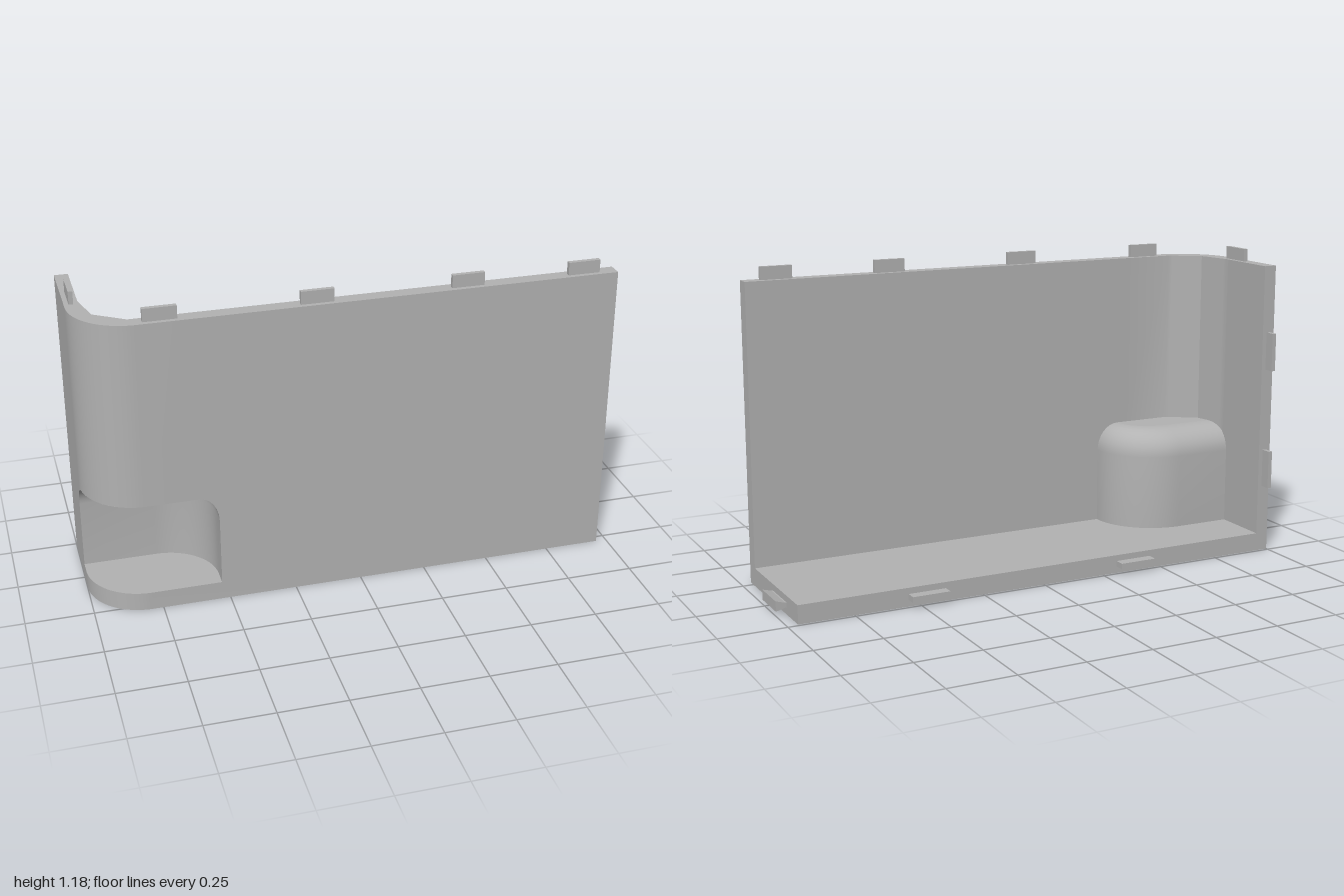
import * as THREE from 'three';
import { toCreasedNormals } from 'three/addons/utils/BufferGeometryUtils.js';

const FLOOR = 0.07, TOP = 1.13, BACK = -0.24, FRONT = 0.28, LEFT = -1, RIGHT = 0.96;
const R = 0.21, CX = LEFT + R, CZ = FRONT - R; // rounded corner of the footprint
const NOTCH = { x: -0.53, z: 0.02, y: 0.33, rise: 0.1, dx: 0.07, dz: 0.1 };

// Quads given as four corners [x, y, z], counter-clockwise from outside
function quadGeometry(quads) {
  const pos = [];
  for (const [a, b, c, d] of quads) pos.push(...a, ...b, ...c, ...a, ...c, ...d);
  const g = new THREE.BufferGeometry();
  g.setAttribute('position', new THREE.Float32BufferAttribute(pos, 3));
  return toCreasedNormals(g, 0.6);
}

// x of the rounded outer edge at depth z
const edgeX = (z) => (z <= CZ ? LEFT : CX - Math.sqrt(Math.max(0, R * R - (z - CZ) ** 2)));

// Height of the notch opening at a point of the outer wall
function notchHeight(x, z) {
  let k = 0;
  if (x < -0.75) k = (NOTCH.z + NOTCH.dz - z) / NOTCH.dz;
  else k = (x - NOTCH.x + NOTCH.dx) / NOTCH.dx;
  k = THREE.MathUtils.clamp(k, 0, 1);
  return NOTCH.y + NOTCH.rise * Math.sqrt(1 - k * k);
}

// Bent wall: stations of outer point, inner point and lower edge
function wallGeometry() {
  const st = [];
  const add = (o, i, h = notchHeight(o[0], o[1])) => st.push({ o, i, h });
  add([LEFT, BACK], [-0.95, BACK], FLOOR);
  add([LEFT, NOTCH.z], [-0.95, 0], FLOOR);
  add([LEFT, NOTCH.z], [-0.95, 0]);
  for (const a of [0.25, 0.5, 0.75]) {
    const z = NOTCH.z + NOTCH.dz * (1 - Math.cos(a));
    add([LEFT, z], [-0.95, (z - NOTCH.z) * 0.4]);
  }
  const bend = [[-0.95, 0.02], [-0.92, 0.15], [-0.81, 0.225]];
  for (let k = 0; k <= 16; k++) {
    const a = (k / 16) * Math.PI / 2, t = k / 8, s = Math.min(1, Math.floor(t)), f = t - s;
    const inner = [0, 1].map((j) => bend[s][j] * (1 - f) + bend[s + 1][j] * f);
    add([CX - R * Math.cos(a), CZ + R * Math.sin(a)], inner);
  }
  for (let k = 0; k <= 6; k++) {
    const x = NOTCH.x - NOTCH.dx * (1 - Math.sin((k / 6) * Math.PI / 2));
    add([x, FRONT], [x, 0.225]);
  }
  add([NOTCH.x, FRONT], [NOTCH.x, 0.225], FLOOR);
  add([RIGHT, FRONT], [RIGHT, 0.225], FLOOR);

  const at = (p, y) => [p[0], y, p[1]];
  const quads = [];
  for (let k = 0; k < st.length - 1; k++) {
    const a = st[k], b = st[k + 1];
    quads.push([at(a.o, a.h), at(b.o, b.h), at(b.o, TOP), at(a.o, TOP)]);
    quads.push([at(b.i, b.h), at(a.i, a.h), at(a.i, TOP), at(b.i, TOP)]);
    quads.push([at(a.o, TOP), at(b.o, TOP), at(b.i, TOP), at(a.i, TOP)]);
    quads.push([at(a.i, a.h), at(b.i, b.h), at(b.o, b.h), at(a.o, a.h)]);
  }
  const s = st[0], e = st[st.length - 1];
  quads.push([at(s.i, s.h), at(s.o, s.h), at(s.o, TOP), at(s.i, TOP)]);
  quads.push([at(e.o, e.h), at(e.i, e.h), at(e.i, TOP), at(e.o, TOP)]);
  return quadGeometry(quads);
}

// Plan curve of the recess: along the back, round the bend, out to the front
function planCurve(x0, z, x, zEnd) {
  const cx = -0.73, cz = 0.215, pts = [[x0, z]];
  for (let k = 0; k <= 14; k++) {
    const a = (k / 14) * Math.PI / 2;
    pts.push([cx + (x - cx) * Math.sin(a), cz - (cz - z) * Math.cos(a)]);
  }
  pts.push([x, zEnd]);
  return pts;
}

// Domed recess skin: curves stacked upward, drawn in toward the top
function domeRows(p, startX, zEnd) {
  const rows = [{ y: FLOOR, pts: planCurve(startX(p.z), p.z, p.x, zEnd) }];
  for (let k = 0; k <= 8; k++) {
    const a = (k / 8) * Math.PI / 2, inset = 1 - Math.cos(a);
    const z = p.z + p.dz * inset;
    rows.push({ y: p.y + p.rise * Math.sin(a), pts: planCurve(startX(z), z, p.x - p.dx * inset, zEnd) });
  }
  return rows;
}

function domeGeometry(rows, flip) {
  const quads = [];
  for (let r = 0; r < rows.length - 1; r++) {
    const lo = rows[r], hi = rows[r + 1];
    for (let k = 0; k < lo.pts.length - 1; k++) {
      const q = [[lo, k], [lo, k + 1], [hi, k + 1], [hi, k]].map(([w, n]) => [w.pts[n][0], w.y, w.pts[n][1]]);
      quads.push(flip ? q.reverse() : q);
    }
  }
  return quadGeometry(quads);
}

// Flat cap closing a dome, facing up (1) or down (-1)
function capGeometry(row, rim, facing) {
  const shape = new THREE.Shape([...row.pts, ...rim].map(([x, z]) => new THREE.Vector2(x, -facing * z)));
  return new THREE.ShapeGeometry(shape).rotateX(-facing * Math.PI / 2).translate(0, row.y, 0);
}

export function createModel() {
  const model = new THREE.Group();
  const grey = new THREE.MeshStandardMaterial({ color: 0xb2b2b2, side: THREE.DoubleSide });
  grey.name = 'grey';
  const add = (name, geometry) => {
    const mesh = new THREE.Mesh(geometry, grey);
    mesh.name = name;
    model.add(mesh);
    return mesh;
  };

  // Floor slab with one rounded corner
  const plan = new THREE.Shape();
  plan.moveTo(RIGHT, -BACK);
  plan.lineTo(LEFT, -BACK);
  plan.lineTo(LEFT, -CZ);
  plan.absarc(CX, -CZ, R, Math.PI, Math.PI * 1.5, false);
  plan.lineTo(RIGHT, -FRONT);
  const slab = new THREE.ExtrudeGeometry(plan, { depth: FLOOR, bevelEnabled: false, curveSegments: 16 });
  add('floor', toCreasedNormals(slab.rotateX(-Math.PI / 2), 0.6));

  add('wall', wallGeometry());

  // Recess seen from outside
  const recess = domeRows(NOTCH, edgeX, FRONT);
  add('recess', domeGeometry(recess, false));
  const rim = [];
  for (let k = 0; k <= 12; k++) {
    const a = Math.PI / 2 - (k / 12) * (Math.PI / 2 - Math.asin(0.05 / R));
    if (k < 12) rim.push([CX - R * Math.cos(a), CZ + R * Math.sin(a)]);
  }
  add('recessCeiling', capGeometry(recess[recess.length - 1], rim, -1));

  // Matching bulge inside
  const bulge = domeRows({ x: -0.49, z: -0.015, y: 0.36, rise: 0.105, dx: 0.09, dz: 0.11 }, () => -0.955, 0.23);
  add('bulge', domeGeometry(bulge, true));
  add('bulgeTop', capGeometry(bulge[bulge.length - 1], [[-0.81, 0.23], [-0.925, 0.155]], 1));

  // Joining tabs, each given by its extents
  const tab = (name, x0, x1, y0, y1, z0, z1) =>
    add(name, new THREE.BoxGeometry(x1 - x0, y1 - y0, z1 - z0))
      .position.set((x0 + x1) / 2, (y0 + y1) / 2, (z0 + z1) / 2);
  for (const x of [-0.705, -0.155, 0.395, 0.835]) tab('topTab', x - 0.06, x + 0.06, 1.12, 1.178, 0.246, 0.263);
  tab('sideTopTab', -0.983, -0.967, 1.12, 1.178, -0.075, 0.046);
  for (const y of [0.335, 0.8]) tab('backWallTab', -0.983, -0.967, y - 0.073, y + 0.073, -0.28, -0.23);
  for (const x of [-0.383, 0.473]) tab('backFloorTab', x - 0.073, x + 0.073, 0.025, 0.047, -0.28, -0.23);

  // Flared tab on the open end
  const flare = new THREE.Shape([[0.95, 0.027], [0.965, 0.027], [1, 0.017], [1, 0.055], [0.965, 0.045], [0.95, 0.045]]
    .map(([x, y]) => new THREE.Vector2(x, y)));
  add('endTab', new THREE.ExtrudeGeometry(flare, { depth: 0.147, bevelEnabled: false }).translate(0, 0, -0.125));

  return model;
}
